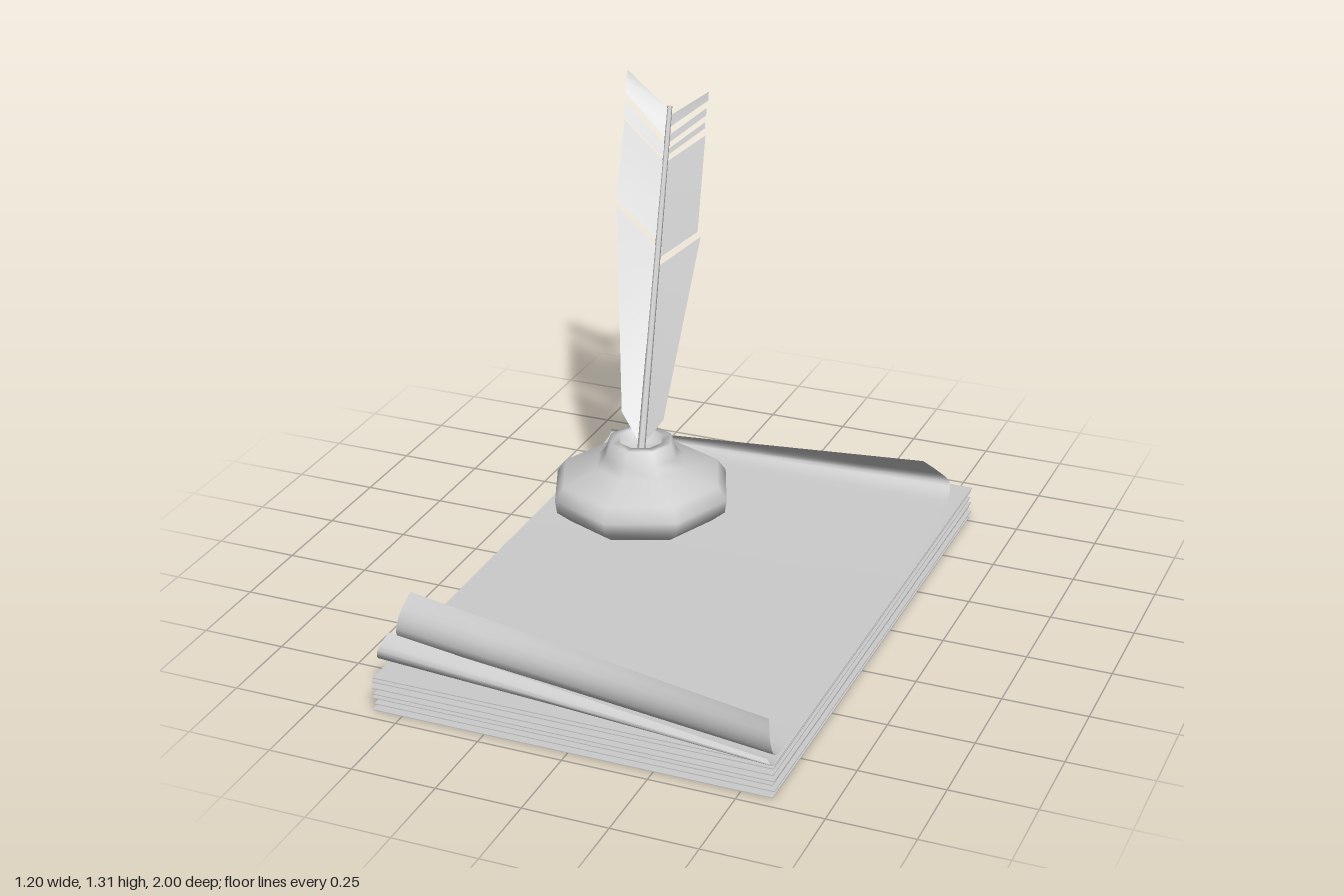
import * as THREE from 'three';

const solid = new THREE.MeshStandardMaterial({ color: 0xcccccc });
const thin = new THREE.MeshStandardMaterial({ color: 0xcccccc, side: THREE.DoubleSide });

// Point grid (rows of Vector3) to a smooth surface
function surface(name, rows) {
  const cols = rows[0].length;
  const pos = [], index = [];
  rows.forEach(row => row.forEach(p => pos.push(p.x, p.y, p.z)));
  for (let i = 0; i < rows.length - 1; i++) {
    for (let j = 0; j < cols - 1; j++) {
      const a = i * cols + j, b = a + 1, c = a + cols, d = c + 1;
      index.push(a, c, b, b, c, d);
    }
  }
  const geo = new THREE.BufferGeometry();
  geo.setAttribute('position', new THREE.Float32BufferAttribute(pos, 3));
  geo.setIndex(index);
  geo.computeVertexNormals();
  const mesh = new THREE.Mesh(geo, thin);
  mesh.name = name;
  return mesh;
}

// Curled page: smooth profiles along its left and right edges, joined across
function page(name, edgeA, edgeB) {
  const sample = pts => new THREE.CatmullRomCurve3(pts.map(p => new THREE.Vector3(...p)), false, 'centripetal');
  const a = sample(edgeA), b = sample(edgeB);
  const rows = [];
  const steps = (edgeA.length - 1) * 3;
  for (let i = 0; i <= steps; i++) {
    const p = a.getPoint(i / steps), q = b.getPoint(i / steps);
    rows.push([0, 0.25, 0.5, 0.75, 1].map(t => p.clone().lerp(q, t)));
  }
  return surface(name, rows);
}

// Point on the quill shaft at a given height
const shaftBase = new THREE.Vector3(-0.245, 0.38, -0.12);
const shaftTop = new THREE.Vector3(-0.45, 1.2, -0.84);
const onShaft = y => shaftBase.clone().lerp(shaftTop, (y - 0.38) / 0.82);

// Vane piece between two shaft heights and two outer points
function vane(name, y0, y1, outer0, outer1) {
  const o0 = new THREE.Vector3(...outer0), o1 = new THREE.Vector3(...outer1);
  return surface(name, [
    [onShaft(y0), o0],
    [onShaft((y0 + y1) / 2), o0.clone().lerp(o1, 0.5)],
    [onShaft(y1), o1],
  ]);
}

export function createModel() {
  const model = new THREE.Group();

  // Stack of loose flat sheets
  const stack = new THREE.Group();
  stack.name = 'paperStack';
  for (let i = 0; i < 7; i++) {
    const sheet = new THREE.Mesh(new THREE.BoxGeometry(1.18, 0.003, 1.735), solid);
    sheet.name = 'sheet';
    sheet.position.set(0.004 * Math.sin(i * 2.4), 0.0015 + i * 0.0167, 0.09 + 0.004 * Math.cos(i * 1.9));
    stack.add(sheet);
  }
  model.add(stack);

  // Lower curled page, bent up at the front
  model.add(page('lowerCurledPage',
    [[-0.59, 0.106, -0.67], [-0.59, 0.106, 0.1], [-0.59, 0.106, 0.7], [-0.595, 0.112, 0.84],
      [-0.6, 0.13, 0.9], [-0.595, 0.16, 0.91], [-0.58, 0.2, 0.87]],
    [[0.56, 0.106, -0.67], [0.57, 0.106, 0.1], [0.585, 0.106, 0.75], [0.59, 0.107, 0.9],
      [0.595, 0.112, 0.97], [0.598, 0.125, 1.0], [0.585, 0.135, 0.99]]));

  // Upper page, curled at both ends
  model.add(page('upperCurledPage',
    [[-0.6, 0.13, -0.69], [-0.6, 0.122, -0.692], [-0.598, 0.117, -0.68], [-0.595, 0.115, -0.65],
      [-0.59, 0.114, -0.58], [-0.585, 0.11, 0], [-0.58, 0.112, 0.5], [-0.58, 0.122, 0.69],
      [-0.58, 0.142, 0.795], [-0.575, 0.18, 0.835], [-0.57, 0.23, 0.825], [-0.56, 0.28, 0.77]],
    [[0.48, 0.245, -0.62], [0.515, 0.2, -0.66], [0.545, 0.155, -0.69], [0.555, 0.125, -0.66],
      [0.56, 0.117, -0.6], [0.58, 0.11, 0], [0.585, 0.11, 0.6], [0.588, 0.111, 0.8],
      [0.593, 0.12, 0.92], [0.598, 0.148, 0.98], [0.594, 0.2, 0.998], [0.588, 0.258, 0.99]]));

  // Eight-sided inkwell with a recessed mouth
  const profile = [[0, 0.125], [0.15, 0.127], [0.23, 0.155], [0.272, 0.19], [0.278, 0.23], [0.25, 0.27],
    [0.14, 0.31], [0.115, 0.34], [0.098, 0.386], [0.07, 0.386], [0.062, 0.35], [0, 0.345]];
  const inkwell = new THREE.Mesh(
    new THREE.LatheGeometry(profile.map(p => new THREE.Vector2(...p)), 8), solid);
  inkwell.name = 'inkwell';
  inkwell.position.set(-0.268, 0, -0.17);
  model.add(inkwell);

  // Quill: tapered shaft with split vanes on both sides
  const quill = new THREE.Group();
  quill.name = 'quill';
  const from = onShaft(0.35), along = shaftTop.clone().sub(from);
  const shaft = new THREE.Mesh(new THREE.CylinderGeometry(0.008, 0.012, along.length(), 6), solid);
  shaft.name = 'shaft';
  shaft.position.copy(from).addScaledVector(along, 0.5);
  shaft.quaternion.setFromUnitVectors(new THREE.Vector3(0, 1, 0), along.normalize());
  quill.add(shaft);

  quill.add(
    vane('frontLowerVane', 0.385, 0.853, [-0.325, 0.47, -0.16], [-0.497, 0.975, -0.528]),
    vane('frontUpperVane', 0.868, 1.06, [-0.508, 0.99, -0.55], [-0.546, 1.185, -0.71]),
    vane('frontBarb', 1.07, 1.1, [-0.555, 1.195, -0.72], [-0.562, 1.235, -0.742]),
    vane('frontTipBarb', 1.115, 1.19, [-0.578, 1.245, -0.79], [-0.58, 1.312, -0.812]),
    vane('backLowerVane', 0.385, 0.805, [-0.228, 0.42, -0.25], [-0.288, 0.842, -0.695]),
    vane('backUpperVane', 0.825, 1.06, [-0.302, 0.853, -0.705], [-0.355, 1.097, -0.9]),
    vane('backBarb', 1.075, 1.09, [-0.366, 1.112, -0.925], [-0.37, 1.128, -0.932]),
    vane('backBarb', 1.105, 1.125, [-0.373, 1.145, -0.95], [-0.376, 1.165, -0.962]),
    vane('backTipBarb', 1.145, 1.175, [-0.382, 1.18, -0.99], [-0.384, 1.206, -1.0]));
  model.add(quill);

  return model;
}
